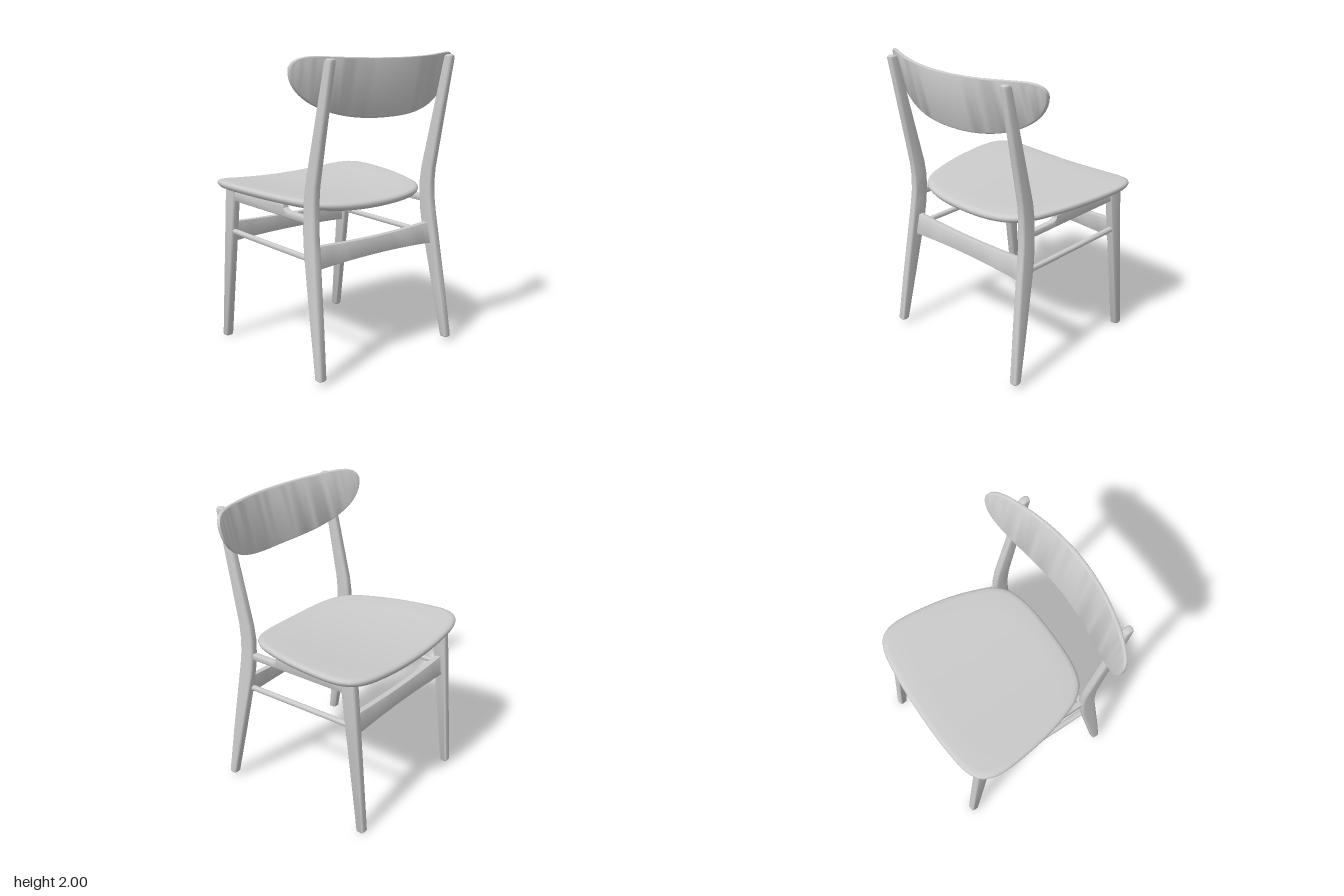
import * as THREE from 'three';
import { toCreasedNormals } from 'three/addons/utils/BufferGeometryUtils.js';

const material = new THREE.MeshStandardMaterial({ color: 0xcccccc });

// Rounded rectangle as [u, v] points, counter-clockwise
function roundRect(w, h, r, n = 4) {
  r = Math.min(r, w / 2, h / 2);
  const pts = [];
  [[1, 1], [-1, 1], [-1, -1], [1, -1]].forEach(([su, sv], q) => {
    for (let i = 0; i <= n; i++) {
      const a = (q + i / n) * Math.PI / 2;
      pts.push([su * (w / 2 - r) + r * Math.cos(a), sv * (h / 2 - r) + r * Math.sin(a)]);
    }
  });
  return pts;
}

// Closed skin through a list of rings (each a list of [x, y, z])
function loft(name, rings, crease = 0.6) {
  const n = rings[0].length, pos = rings.flat(2), index = [];
  for (let i = 0; i < rings.length - 1; i++) {
    for (let j = 0; j < n; j++) {
      const k = (j + 1) % n, a = i * n + j, b = i * n + k;
      index.push(a, b, b + n, a, b + n, a + n);
    }
  }
  [0, rings.length - 1].forEach((r, end) => {
    const c = pos.length / 3;
    for (let d = 0; d < 3; d++) pos.push(rings[r].reduce((s, p) => s + p[d], 0) / n);
    for (let j = 0; j < n; j++) {
      const a = r * n + j, b = r * n + (j + 1) % n;
      if (end) index.push(c, a, b); else index.push(c, b, a);
    }
  });
  const geo = new THREE.BufferGeometry();
  geo.setAttribute('position', new THREE.Float32BufferAttribute(pos, 3));
  geo.setIndex(index);
  const mesh = new THREE.Mesh(toCreasedNormals(geo, crease), material);
  mesh.name = name;
  return mesh;
}

// Leg from horizontal sections [y, x, z, width, depth]
function leg(name, side, sections) {
  return loft(name, sections.map(([y, x, z, w, d]) =>
    roundRect(d, w, 0.016).map(([u, v]) => [side * x + v, y, z + u])));
}

// Saddle-shaped cushion seat
function seat() {
  const half = [[0.3, -0.605], [0.5, -0.578], [0.59, -0.53], [0.63, -0.45], [0.638, -0.35],
    [0.62, -0.15], [0.59, 0.02], [0.545, 0.18], [0.5, 0.29], [0.42, 0.38], [0.28, 0.432]];
  const pts = [[0, -0.615], ...half, [0, 0.452], ...half.map(([x, z]) => [-x, z]).reverse()];
  const outline = new THREE.CatmullRomCurve3(
    pts.map(([x, z]) => new THREE.Vector3(x, 0, z)), true).getSpacedPoints(96).slice(0, 96).reverse();
  const layers = [[0.02, -0.055], [0.35, -0.055], [0.7, -0.055], [0.95, -0.055], [0.975, -0.05],
    [0.992, -0.038], [1, -0.025], [0.992, -0.012], [0.97, -0.004], [0.93, 0], [0.7, 0], [0.35, 0], [0.02, 0]];
  const zc = -0.08;
  return loft('seat', layers.map(([s, t]) => outline.map((p) => {
    const x = p.x * s, z = zc + (p.z - zc) * s;
    return [x, 1.093 - 0.03 * z + 0.12 * x * x + t, z];
  })), 0.9);
}

// Curved, leaning back panel, rounded towards both tips
function backrest() {
  const rings = [], steps = 48;
  for (let i = 0; i <= steps; i++) {
    const u = Math.sin((i / steps - 0.5) * Math.PI * 0.994), x = 0.69 * u, k = Math.abs(u);
    const top = 1.93 + (0.05 + 0.022 * (k / 0.87) ** 2) * Math.sqrt(1 - k ** 12);
    const low = 1.925 - 0.315 * Math.sqrt(1 - k ** 2.5);
    rings.push(roundRect(top - low, 0.027, 0.01).map(([a, b]) => {
      const y = (top + low) / 2 + a;
      return [x, y, 0.597 + 0.245 * (y - 1.978) - 0.4 * x * x + b];
    }));
  }
  return loft('backrest', rings, 0.7);
}

// Cross bar between two legs, waisted at the middle and leaning with them
function crossBar(name, yMid, z, lean) {
  const rings = [];
  for (let i = 0; i <= 16; i++) {
    const x = (i / 16 - 0.5) * 1.02, h = 0.112 + 0.032 * (x / 0.5) ** 2;
    rings.push(roundRect(h, 0.04, 0.006, 2).map(([a, b]) => [x, yMid + a, z + lean * a + b]));
  }
  return loft(name, rings);
}

// Side bar running front to back, from sections [z, bottom, top]
function sideBar(name, x, width, radius, sections) {
  return loft(name, sections.map(([z, lo, hi]) =>
    roundRect(width, hi - lo, radius).map(([u, v]) => [x + u, (lo + hi) / 2 + v, z])));
}

export function createModel() {
  const chair = new THREE.Group();
  chair.name = 'chair';
  chair.add(seat(), backrest());
  chair.add(crossBar('rearCrossBar', 0.768, 0.395, -0.17));
  chair.add(crossBar('frontCrossBar', 0.778, -0.48, 0.1));

  for (const side of [1, -1]) {
    const label = side > 0 ? 'left' : 'right';
    // Rear leg continues upward as the back post
    chair.add(leg(label + 'RearLegAndPost', side, [
      [0.03, 0.572, 0.5285, 0.05, 0.05], [0.036, 0.572, 0.5275, 0.058, 0.058],
      [0.4, 0.552, 0.467, 0.059, 0.086], [0.8, 0.529, 0.4, 0.058, 0.11],
      [0.92, 0.522, 0.384, 0.057, 0.109], [1.02, 0.516, 0.377, 0.056, 0.106],
      [1.12, 0.513, 0.377, 0.055, 0.104], [1.22, 0.513, 0.388, 0.054, 0.1],
      [1.5, 0.513, 0.448, 0.053, 0.085], [1.96, 0.513, 0.547, 0.05, 0.064],
      [1.975, 0.513, 0.55, 0.046, 0.057], [1.982, 0.513, 0.551, 0.032, 0.04]]));
    chair.add(leg(label + 'FrontLeg', side, [
      [0, 0.514, -0.565, 0.05, 0.048], [0.008, 0.514, -0.565, 0.058, 0.058],
      [1.09, 0.514, -0.457, 0.06, 0.108]]));
    // Seat rail, stepped up to carry the front of the seat
    chair.add(sideBar(label + 'SeatRail', side * 0.514, 0.042, 0.008, [
      [-0.43, 1.0, 1.08], [0.12, 0.987, 1.068], [0.125, 0.987, 1.045],
      [0.15, 0.986, 1.03], [0.36, 0.98, 1.024]]));
    chair.add(sideBar(label + 'Stretcher', side * 0.52, 0.036, 0.014, [
      [-0.46, 0.765, 0.8], [0.38, 0.742, 0.776]]));
  }
  return chair;
}
